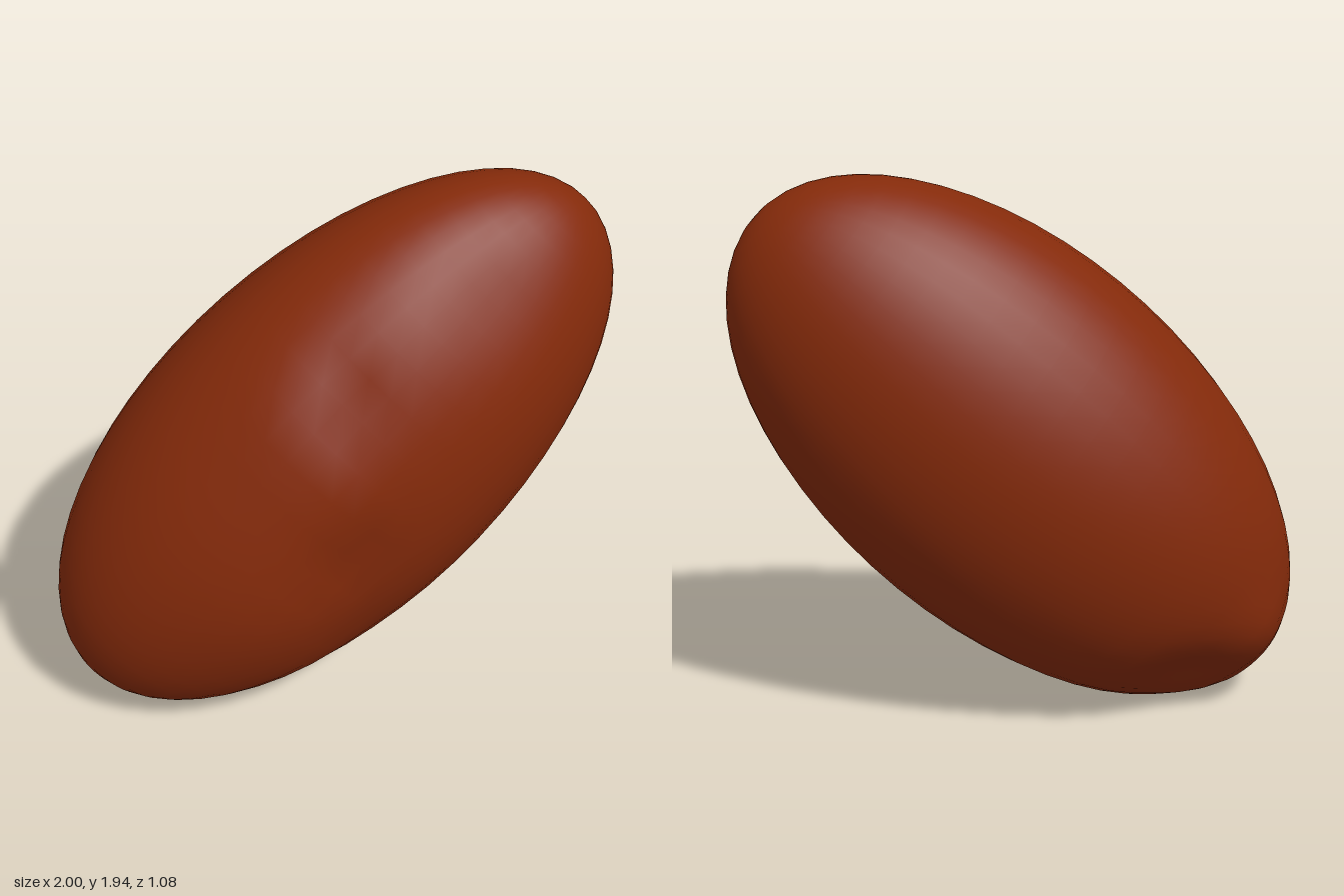
import * as THREE from 'three';
import { mergeVertices } from 'three/addons/utils/BufferGeometryUtils.js';

// Hollows (negative) and swellings (positive): centre, radius, height along the local outward direction
const dimples = [
  { at: [-0.08, 0.83, 0.52], radius: 0.15, height: -0.05 },
  { at: [-0.10, 1.06, 0.52], radius: 0.12, height: 0.015 },
  { at: [-0.06, 1.41, 0.45], radius: 0.10, height: -0.05 },
  { at: [-0.25, 1.38, 0.42], radius: 0.18, height: 0.025 },
  { at: [-0.06, 0.52, 0.46], radius: 0.18, height: -0.025 },
  { at: [-0.40, 0.62, 0.50], radius: 0.22, height: 0.015 },
  { at: [0.45, 1.66, 0.32], radius: 0.22, height: -0.03 },
  { at: [-0.55, 0.12, -0.33], radius: 0.17, height: -0.06 },
  { at: [-0.80, 0.32, -0.28], radius: 0.13, height: 0.03 },
].map(d => ({ ...d, at: new THREE.Vector3(...d.at) }));

const LEAN = 0.757; // angle of the long axis above the horizontal
const CENTRE_Y = 0.97;

function tuberGeometry() {
  // Long ellipsoid leaning to the model's left
  const geo = new THREE.SphereGeometry(1, 40, 30);
  geo.scale(0.665, 1.228, 0.535);
  geo.rotateZ(LEAN - Math.PI / 2);
  geo.translate(0, CENTRE_Y, 0);
  geo.deleteAttribute('uv');
  geo.deleteAttribute('normal');
  const merged = mergeVertices(geo, 1e-4);
  merged.computeVertexNormals();

  const pos = merged.attributes.position;
  const nor = merged.attributes.normal;
  const p = new THREE.Vector3();
  const n = new THREE.Vector3();
  for (let i = 0; i < pos.count; i++) {
    p.fromBufferAttribute(pos, i);
    n.fromBufferAttribute(nor, i);
    let push = 0;
    for (const d of dimples) {
      push += d.height * Math.exp(-p.distanceToSquared(d.at) / (d.radius * d.radius));
    }
    // Lower end thicker than the upper end
    const along = p.x * Math.cos(LEAN) + (p.y - CENTRE_Y) * Math.sin(LEAN);
    p.z *= 1 - 0.1 * along;
    p.addScaledVector(n, push);
    pos.setXYZ(i, p.x, p.y, p.z);
  }
  merged.computeVertexNormals();
  return merged;
}

export function createModel() {
  const model = new THREE.Group();
  model.name = 'potato';
  const skin = new THREE.MeshStandardMaterial({ color: 0x842a0a });
  skin.name = 'russet skin';
  const tuber = new THREE.Mesh(tuberGeometry(), skin);
  tuber.name = 'tuber';
  model.add(tuber);
  return model;
}
